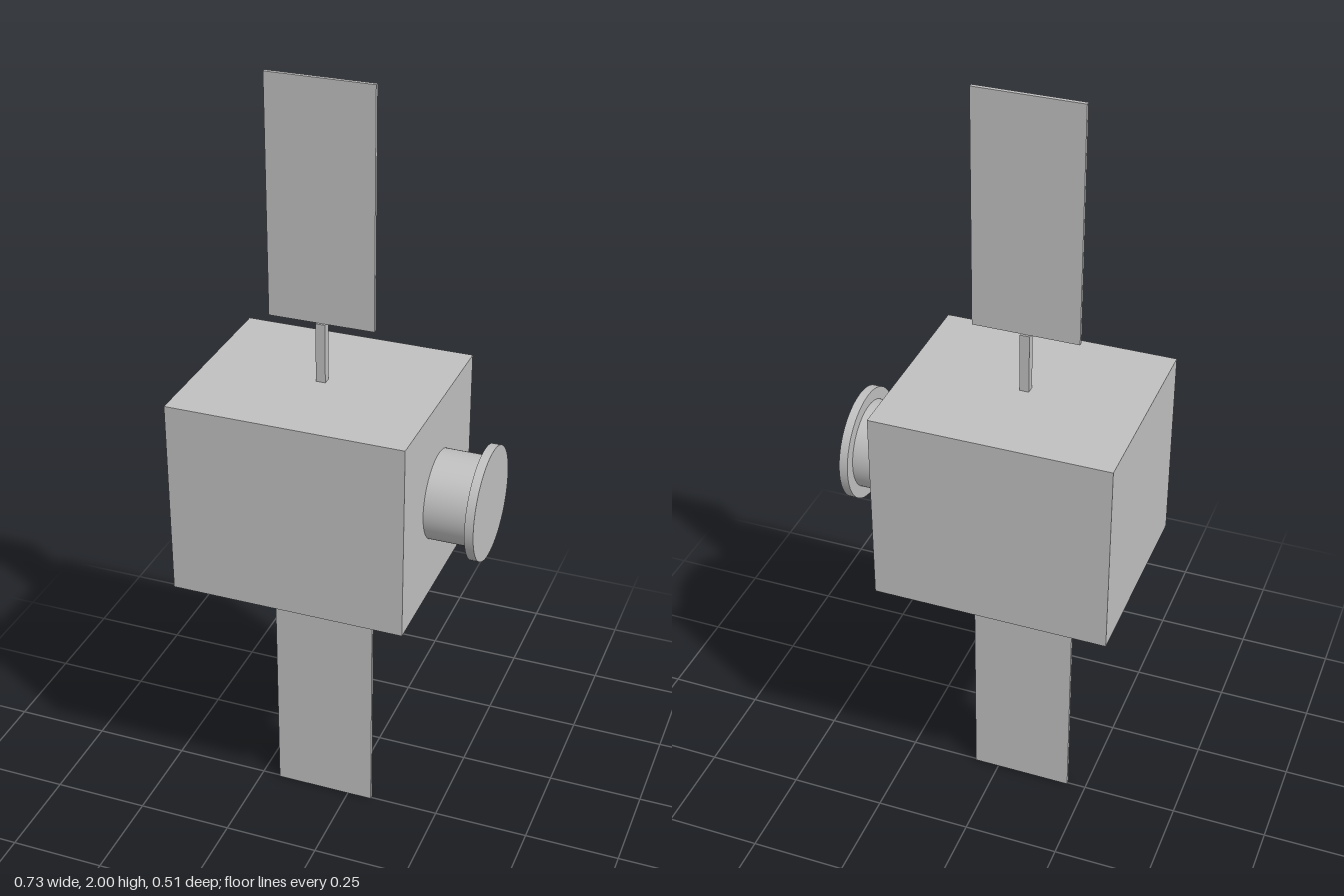
import * as THREE from 'three';

export function createModel() {
  const model = new THREE.Group();
  model.name = 'satellite';
  const grey = new THREE.MeshStandardMaterial({ color: 0xc0c0c0 });
  grey.name = 'grey';

  const add = (name, geometry, x, y, z = 0) => {
    const mesh = new THREE.Mesh(geometry, grey);
    mesh.name = name;
    mesh.position.set(x, y, z);
    model.add(mesh);
    return mesh;
  };

  // Body, centred at mid height
  const midX = -0.067;
  add('body', new THREE.BoxGeometry(0.595, 0.506, 0.506), midX, 1);

  // Upper and lower solar wings, each on a thin strut
  for (const [side, s] of [['upper', 1], ['lower', -1]]) {
    add(side + 'Strut', new THREE.BoxGeometry(0.024, 0.152, 0.022), midX, 1 + s * 0.329);
    add(side + 'SolarPanel', new THREE.BoxGeometry(0.266, 0.595, 0.01), midX, 1 + s * 0.7025);
  }

  // Instrument barrel and its wider end cap, pointing along +x
  const disc = (name, radius, x0, x1) => {
    const geometry = new THREE.CylinderGeometry(radius, radius, x1 - x0, 64);
    add(name, geometry.rotateZ(-Math.PI / 2), (x0 + x1) / 2, 1);
  };
  disc('instrumentBarrel', 0.112, 0.23, 0.342);
  disc('instrumentCap', 0.143, 0.342, 0.364);

  return model;
}
